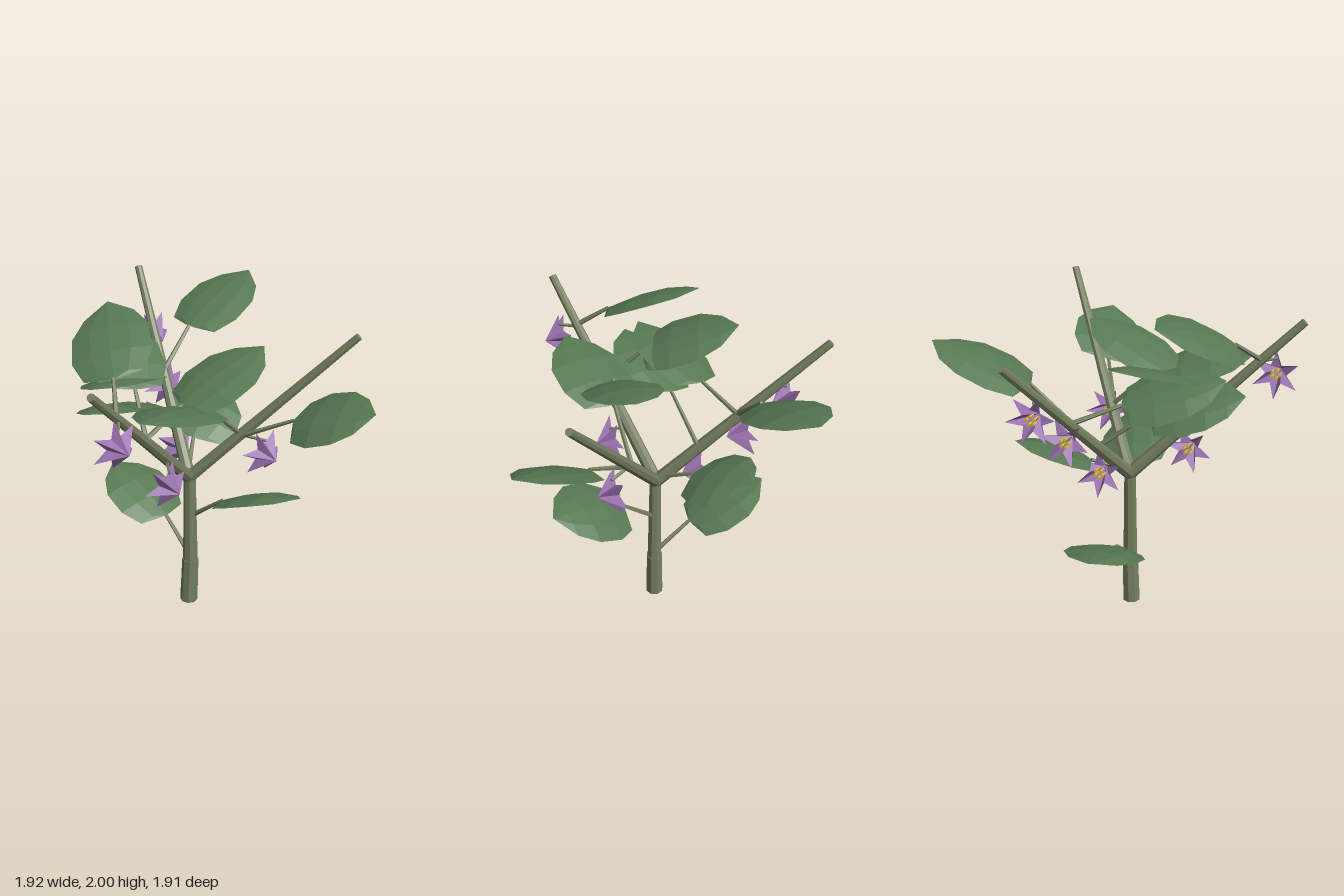
import * as THREE from 'three';

const mat = (color) => new THREE.MeshStandardMaterial({ color, flatShading: true, side: THREE.DoubleSide });
const V = (p) => new THREE.Vector3(...p);

export function createModel() {
  const group = new THREE.Group();
  const bark = mat(0x757f60), leafMat = mat(0x587a54), petalMat = mat(0x9a72b0), yellow = mat(0xd9bf3a);

  const add = (parent, name, geometry, material) => {
    const mesh = new THREE.Mesh(geometry, material);
    mesh.name = name;
    parent.add(mesh);
    return mesh;
  };

  // Tapered rod between two points
  function rod(name, from, to, r0, r1, sides = 8) {
    const a = V(from), b = V(to), d = b.clone().sub(a);
    const mesh = add(group, name, new THREE.CylinderGeometry(r1, r0, d.length(), sides), bark);
    mesh.position.copy(a).add(b).multiplyScalar(0.5);
    mesh.quaternion.setFromUnitVectors(new THREE.Vector3(0, 1, 0), d.normalize());
  }

  // Indexed strip surface from rows of equal length
  function gridGeometry(rows) {
    const n = rows[0].length, index = [];
    for (let i = 0; i < rows.length - 1; i++) {
      for (let j = 0; j < n - 1; j++) {
        const a = i * n + j, b = a + n;
        index.push(a, b, a + 1, b, b + 1, a + 1);
      }
    }
    const g = new THREE.BufferGeometry();
    g.setAttribute('position', new THREE.Float32BufferAttribute(rows.flat(2), 3));
    g.setIndex(index);
    g.computeVertexNormals();
    return g;
  }

  // Leaf blade along +z, arched lengthwise and drooping toward its edges
  const outline = [[0, 0.03], [0.06, 0.17], [0.3, 0.23], [0.6, 0.22], [0.82, 0.145], [1, 0]];
  function bladeGeometry(length) {
    return gridGeometry(outline.map(([s, w]) => [-1, -0.5, 0, 0.5, 1].map((t) => [
      t * w,
      0.035 * Math.sin(Math.PI * s) - 0.04 * t * t * (w / 0.23),
      s * length,
    ])));
  }

  // Stalk plus blade; roll lifts the side at (direction x up)
  function leaf(node, base, tip, roll) {
    rod('leafStalk', node, base, 0.016, 0.011, 5);
    const b = V(base), d = V(tip).sub(b), length = d.length();
    d.normalize();
    const side = d.clone().cross(new THREE.Vector3(0, 1, 0)).normalize();
    side.y += roll;
    side.addScaledVector(d, -side.dot(d)).normalize();
    const up = side.clone().cross(d);
    const x = up.clone().cross(d);
    const mesh = add(group, 'leaf', bladeGeometry(length), leafMat);
    mesh.quaternion.setFromRotationMatrix(new THREE.Matrix4().makeBasis(x, up, d));
    mesh.position.copy(b);
  }

  // Six-pointed bell-shaped star opening along +z from its apex
  function starGeometry() {
    const ring = [], apex = [];
    for (let i = 0; i <= 12; i++) {
      const a = (i / 12) * Math.PI * 2 + Math.PI / 2, point = i % 2 === 0;
      const r = point ? 0.15 : 0.062;
      ring.push([Math.cos(a) * r, Math.sin(a) * r, point ? 0.135 : 0.115]);
      apex.push([0, 0, 0]);
    }
    return gridGeometry([apex, ring]);
  }

  function flower(node, apex, spin) {
    const [x, y, z] = apex;
    rod('flowerStalk', node, [x, y + 0.1, z - 0.09], 0.011, 0.009, 5);
    const f = new THREE.Group();
    f.name = 'flower';
    f.position.set(x, y, z);
    f.lookAt(x, y + 0.08, z - 1);
    f.rotateZ(spin);
    add(f, 'petals', starGeometry(), petalMat);
    // Stamens
    for (let i = 0; i < 5; i++) {
      const a = (i / 5) * Math.PI * 2;
      const s = add(f, 'stamen', new THREE.CylinderGeometry(0.011, 0.004, 0.06, 5), yellow);
      s.rotation.x = Math.PI / 2;
      s.position.set(Math.cos(a) * 0.024, Math.sin(a) * 0.024, 0.1);
    }
    group.add(f);
  }

  // Trunk in two sections
  rod('lowerTrunk', [-0.02, 0, -0.04], [-0.01, 0.31, -0.035], 0.055, 0.051);
  rod('upperTrunk', [-0.01, 0.29, -0.035], [-0.01, 0.95, -0.04], 0.046, 0.036);

  // Three main branches
  const fork = [-0.01, 0.9, -0.045];
  for (const tip of [[-0.94, 1.88, 0.27], [0.355, 1.89, -0.94], [0.62, 1.88, 0.67]]) {
    rod('branch', fork, tip, 0.04, 0.023);
  }

  // Leaves: node, blade base, blade tip, roll
  const leaves = [
    [[0.17, 1.4, -0.48], [0.4, 1.62, -0.51], [0.96, 1.82, -0.57], 0],
    [[0.17, 1.4, -0.48], [-0.08, 1.5, -0.36], [-0.62, 1.65, -0.16], -0.28],
    [[0.02, 0.95, -0.08], [0.17, 1.04, -0.21], [0.56, 1.19, -0.41], -0.2],
    [[-0.01, 0.34, -0.05], [-0.01, 0.52, -0.27], [-0.03, 0.7, -0.77], 0],
    [[-0.46, 1.39, 0.11], [-0.37, 1.6, -0.09], [-0.12, 1.81, -0.6], -0.12],
    [[-0.46, 1.39, 0.11], [-0.22, 1.54, 0.14], [0.34, 1.75, 0.21], 0],
    [[-0.72, 1.65, 0.19], [-0.61, 1.79, 0.03], [-0.29, 2, -0.42], 0.3],
    [[0.2, 1.21, 0.18], [-0.07, 1.48, 0.19], [-0.65, 1.63, 0.29], -0.12],
    [[0.18, 1.21, 0.19], [0.33, 1.38, 0.48], [0.48, 1.55, 0.95], -0.35],
    [[0, 0.64, -0.02], [0.05, 0.82, 0.19], [0.21, 0.99, 0.67], 0.34],
    [[0.1, 1.17, -0.27], [-0.19, 1.4, -0.21], [-0.72, 1.55, -0.11], -0.3],
  ];
  leaves.forEach((l) => leaf(...l));

  // Flowers: branch node, apex
  const flowers = [
    [[-0.71, 1.64, 0.19], [-0.79, 1.53, 0.38]],
    [[-0.25, 1.15, 0.03], [-0.32, 1.03, 0.23]],
    [[0.2, 1.22, 0.22], [0.26, 1.11, 0.42]],
    [[0.06, 1.1, -0.21], [0.09, 0.99, -0.17]],
    [[0.17, 1.39, -0.48], [0.2, 1.28, -0.4]],
    [[0.25, 1.62, -0.68], [0.29, 1.51, -0.63]],
  ];
  flowers.forEach(([node, apex], i) => flower(node, apex, i * 0.35));

  return group;
}
